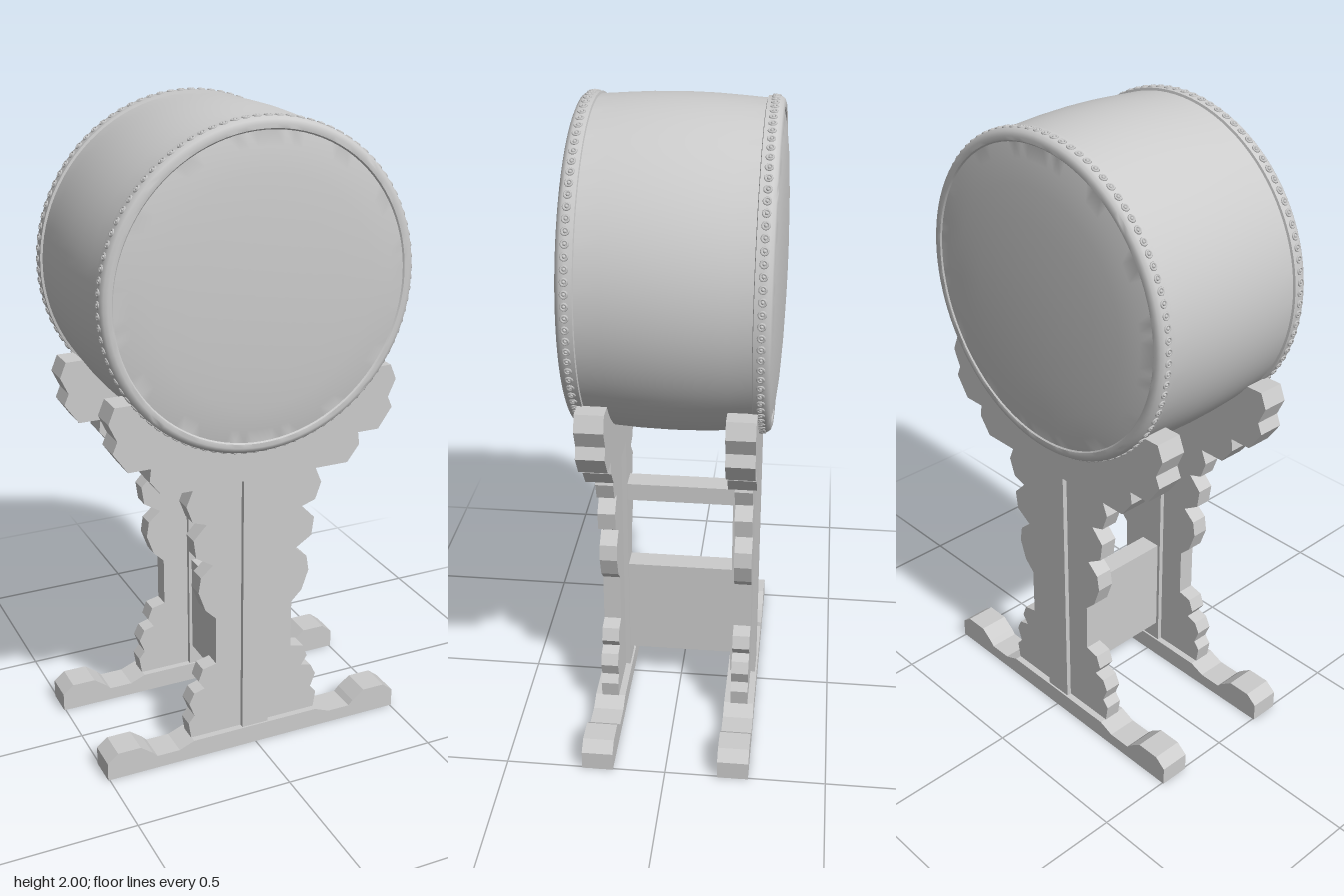
import * as THREE from 'three';
import { mergeGeometries, toCreasedNormals } from 'three/addons/utils/BufferGeometryUtils.js';

const material = new THREE.MeshStandardMaterial({ color: 0xcccccc });
const DRUM_Y = 1.507;

function add(parent, name, geometry) {
  const mesh = new THREE.Mesh(geometry, material);
  mesh.name = name;
  parent.add(mesh);
  return mesh;
}

// Closed shape from its right half, listed bottom to top, mirrored in x
function mirrored(half) {
  const left = half.map(([x, y]) => [-x, y]).reverse();
  return new THREE.Shape([...half, ...left].map(([x, y]) => new THREE.Vector2(x, y)));
}

// Flat board of the given depth, centred on z = 0
function board(half, depth) {
  const g = new THREE.ExtrudeGeometry(mirrored(half), { depth, bevelEnabled: false });
  return g.translate(0, 0, -depth / 2);
}

// Barrel shell with rolled rims and slightly domed heads, turned about z
function drumGeometry() {
  const back = [
    [0, -0.312], [0.12, -0.311], [0.24, -0.307], [0.34, -0.301], [0.41, -0.293], [0.452, -0.284],
    [0.456, -0.288], [0.468, -0.29], [0.48, -0.285], [0.487, -0.275], [0.488, -0.262], [0.488, -0.24],
    [0.481, -0.238], [0.486, -0.17], [0.491, -0.09],
  ];
  const front = back.map(([r, z]) => [r, -z]).reverse();
  const profile = [...back, [0.493, 0], ...front].map(([r, z]) => new THREE.Vector2(r, z));
  const g = new THREE.LatheGeometry(profile, 96).rotateX(Math.PI / 2);
  return toCreasedNormals(g, 0.6);
}

// Ring of round tacks facing outward: a small collar with a domed centre
function tackRing(count) {
  const parts = [];
  for (let i = 0; i < count; i++) {
    const collar = new THREE.TorusGeometry(0.009, 0.0035, 5, 12);
    const dome = new THREE.SphereGeometry(0.005, 8, 5);
    for (const g of [collar, dome]) {
      g.rotateY(Math.PI / 2).translate(0.488, 0, 0).rotateZ((i + 0.5) * 2 * Math.PI / count);
      parts.push(g);
    }
  }
  return mergeGeometries(parts);
}

// Saddle that holds the drum, in one piece with the central post
function cradleGeometry() {
  const half = [
    [0.045, 0.05], [0.045, 0.922], [0.305, 0.922], [0.345, 0.975], [0.34, 1.015], [0.41, 1.015],
    [0.455, 1.08], [0.44, 1.115], [0.465, 1.17], [0.445, 1.218], [0.39, 1.218],
  ];
  const start = Math.atan2(1.218 - DRUM_Y, 0.39);
  for (let i = 1; i <= 20; i++) {
    const a = start + (-Math.PI / 2 - start) * i / 20;
    half.push([0.484 * Math.cos(a), DRUM_Y + 0.484 * Math.sin(a)]);
  }
  half[half.length - 1][0] = 0.001;
  return board(half, 0.085);
}

// Carved outline of the panel either side of the post
const panelHalf = [
  [0.215, 0.05], [0.225, 0.115], [0.205, 0.14], [0.222, 0.185], [0.205, 0.22], [0.17, 0.23],
  [0.19, 0.26], [0.175, 0.3], [0.13, 0.31], [0.13, 0.47], [0.165, 0.505], [0.188, 0.57],
  [0.18, 0.62], [0.14, 0.655], [0.195, 0.69], [0.203, 0.75], [0.16, 0.795], [0.205, 0.81],
  [0.225, 0.865], [0.2, 0.925],
];

const footHalf = [
  [0.505, 0], [0.505, 0.06], [0.47, 0.088], [0.395, 0.088], [0.355, 0.058], [0.34, 0.042],
  [0.265, 0.042], [0.215, 0.062],
];

export function createModel() {
  const model = new THREE.Group();
  model.name = 'drumOnStand';

  const drum = new THREE.Group();
  drum.name = 'drum';
  drum.position.y = DRUM_Y;
  add(drum, 'drumBody', drumGeometry());
  for (const side of [1, -1]) {
    add(drum, side > 0 ? 'frontTacks' : 'backTacks', tackRing(92)).position.z = side * 0.262;
  }
  model.add(drum);

  // Two matching stand frames
  for (const side of [1, -1]) {
    const frame = new THREE.Group();
    frame.name = side > 0 ? 'frontFrame' : 'backFrame';
    frame.position.z = side * 0.212;
    add(frame, 'cradleAndPost', cradleGeometry());
    add(frame, 'carvedPanel', board(panelHalf, 0.055));
    add(frame, 'foot', board(footHalf, 0.097));
    model.add(frame);
  }

  // Pieces joining the frames
  add(model, 'crossbar', new THREE.BoxGeometry(0.07, 0.058, 0.37)).position.y = 0.734;
  add(model, 'lowerBoard', new THREE.BoxGeometry(0.07, 0.33, 0.37)).position.y = 0.295;

  return model;
}
